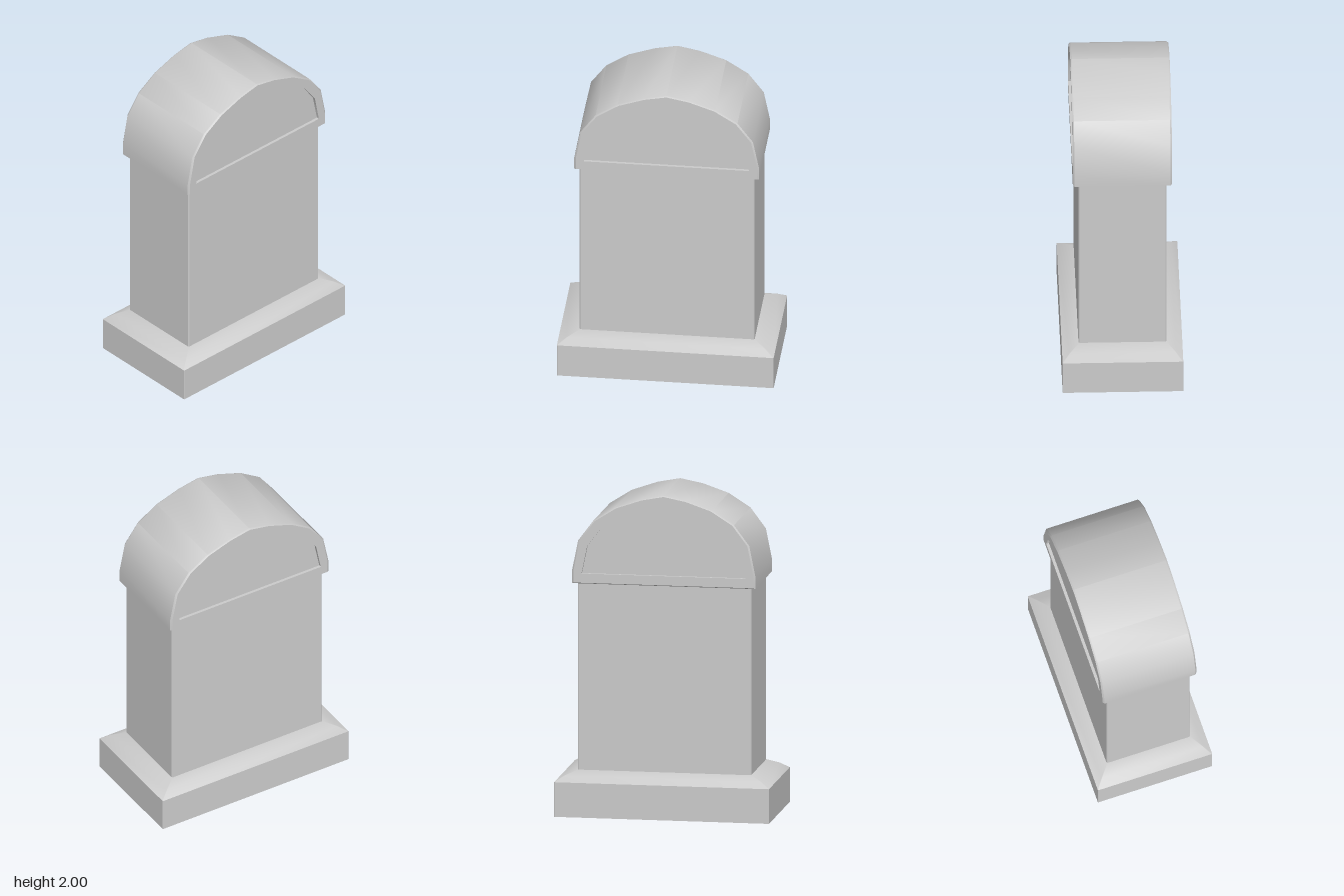
import * as THREE from 'three';
import { toCreasedNormals } from 'three/addons/utils/BufferGeometryUtils.js';

// Closed solid through equal-length rings of [x, y, z], with a fan at each end
function loft(rings) {
  const pos = [];
  const tri = (a, b, c) => pos.push(...a, ...b, ...c);
  const n = rings[0].length;
  const centre = (r) => [0, 1, 2].map((k) => r.reduce((s, p) => s + p[k], 0) / n);
  const first = rings[0], last = rings[rings.length - 1];
  const c0 = centre(first), c1 = centre(last);
  for (let i = 0; i < n; i++) {
    const j = (i + 1) % n;
    for (let r = 0; r + 1 < rings.length; r++) {
      const a = rings[r], b = rings[r + 1];
      tri(a[i], a[j], b[j]);
      tri(a[i], b[j], b[i]);
    }
    tri(c0, first[j], first[i]);
    tri(c1, last[i], last[j]);
  }
  const g = new THREE.BufferGeometry();
  g.setAttribute('position', new THREE.Float32BufferAttribute(pos, 3));
  return toCreasedNormals(g, 0.6);
}

// Horizontal rectangle with slightly cut corners
function rectRing(hx, hz, y, c) {
  return [
    [hx, y, hz - c], [hx, y, c - hz], [hx - c, y, -hz], [c - hx, y, -hz],
    [-hx, y, c - hz], [-hx, y, hz - c], [c - hx, y, hz], [hx - c, y, hz],
  ];
}

// Full arch outline at a given x from its [z, y] half, scaled about the arch centre
function archRing(half, x, s = 1) {
  const left = half.slice(1).reverse().map(([z, y]) => [-z, y]);
  return [...half, ...left].map(([z, y]) => [x, 1.72 + (y - 1.72) * s, z * s]);
}

export function createModel() {
  const group = new THREE.Group();
  const material = new THREE.MeshStandardMaterial({ color: 0xcccccc });
  const add = (name, geometry) => {
    const mesh = new THREE.Mesh(geometry, material);
    mesh.name = name;
    group.add(mesh);
  };

  // Plinth with a curved slope up to the shaft
  add('plinth', loft([
    [0.368, 0.665, 0], [0.368, 0.665, 0.215], [0.325, 0.61, 0.25], [0.266, 0.535, 0.28],
  ].map(([x, z, y]) => rectRing(x, z, y, 0.003))));

  // Rectangular shaft
  add('shaft', loft([rectRing(0.268, 0.537, 0.275, 0.006), rectRing(0.268, 0.537, 1.45, 0.006)]));

  // Arched cap with bevelled rims and a recessed panel on each side
  const outer = [[0, 2], [0.14, 1.973], [0.3, 1.918], [0.435, 1.832], [0.53, 1.705], [0.567, 1.52], [0.567, 1.44]];
  const inner = [[0, 1.935], [0.14, 1.91], [0.27, 1.862], [0.39, 1.785], [0.473, 1.67], [0.497, 1.55], [0.507, 1.503]];
  const side = [[inner, 0.285, 1], [inner, 0.303, 1], [outer, 0.303, 0.98], [outer, 0.293, 1]];
  add('archedCap', loft([
    ...side.map(([o, x, s]) => archRing(o, -x, s)),
    ...side.slice().reverse().map(([o, x, s]) => archRing(o, x, s)),
  ]));

  return group;
}
